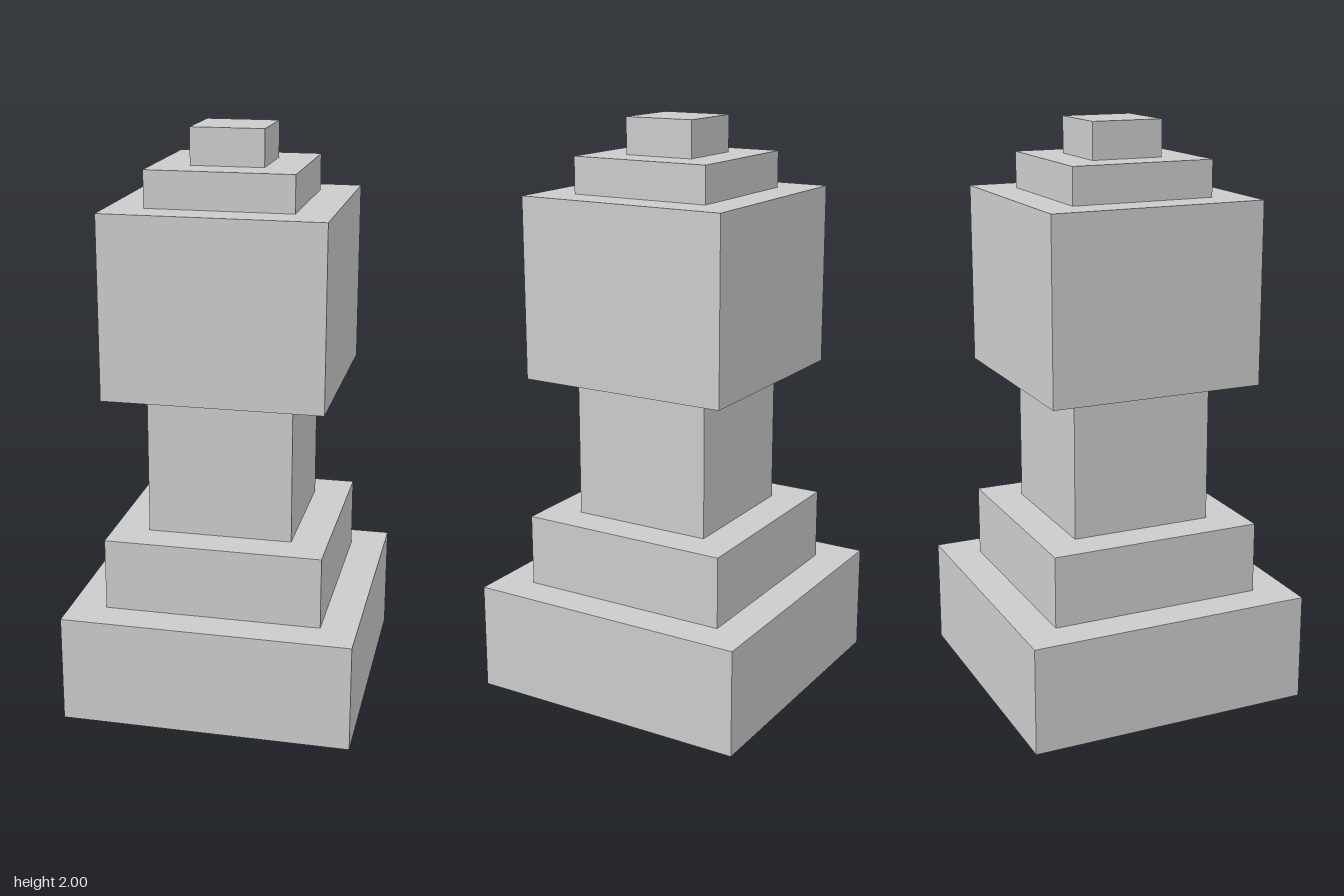
import * as THREE from 'three';

// Stacked square blocks, from the ground up: name, width, bottom y, top y
const blocks = [
  ['base', 1, 0, 0.375],
  ['plinth', 0.75, 0.375, 0.625],
  ['neck', 0.5, 0.625, 1.125],
  ['head', 0.75, 1.125, 1.75],
  ['capStep', 0.5, 1.75, 1.875],
  ['finial', 0.25, 1.875, 2],
];

export function createModel() {
  const model = new THREE.Group();
  model.name = 'steppedPillar';
  const material = new THREE.MeshStandardMaterial({ color: 0xcccccc, flatShading: true });

  for (const [name, width, bottom, top] of blocks) {
    const block = new THREE.Mesh(new THREE.BoxGeometry(width, top - bottom, width), material);
    block.name = name;
    block.position.y = (bottom + top) / 2;
    model.add(block);
  }
  return model;
}
